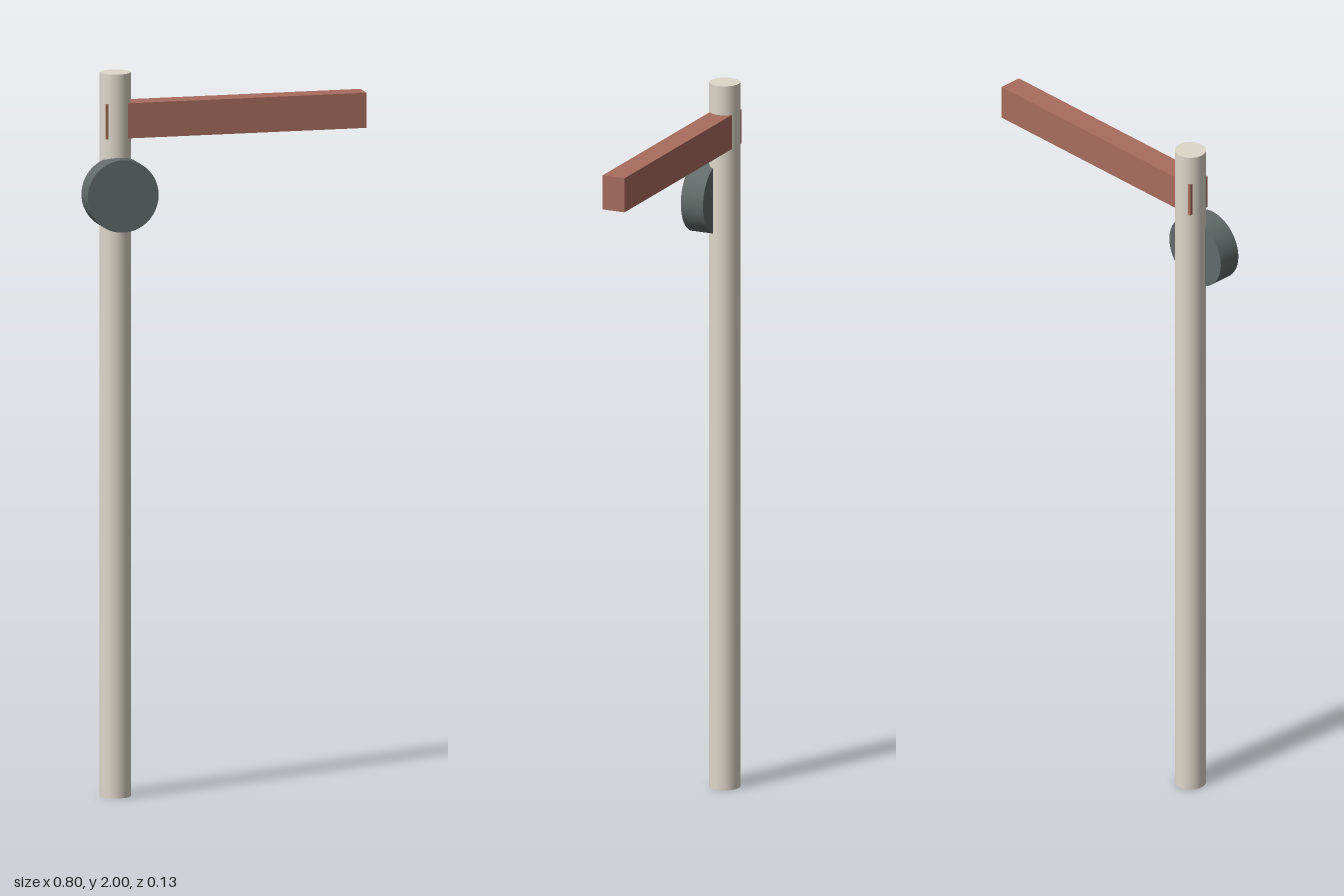
import * as THREE from 'three';

const POLE_X = -0.3;
const POLE_Z = -0.021;

function part(name, geometry, color, x, y, z) {
  const mesh = new THREE.Mesh(geometry, new THREE.MeshStandardMaterial({ color }));
  mesh.name = name;
  mesh.position.set(x, y, z);
  return mesh;
}

export function createModel() {
  const group = new THREE.Group();
  group.name = 'signalPost';

  // Tall round post
  group.add(part('post', new THREE.CylinderGeometry(0.0425, 0.0425, 2, 48), 0xded8ca, POLE_X, 1, POLE_Z));

  // Horizontal arm, passing through the post and just breaking its far side
  group.add(part('arm', new THREE.BoxGeometry(0.734, 0.097, 0.066), 0xa86c5e, 0.033, 1.869, POLE_Z - 0.001));

  // Round disc on the front of the post, below the arm
  const disc = new THREE.CylinderGeometry(0.1, 0.1, 0.067, 64).rotateX(Math.PI / 2);
  group.add(part('disc', disc, 0x626b69, POLE_X, 1.67, 0.03));

  return group;
}
